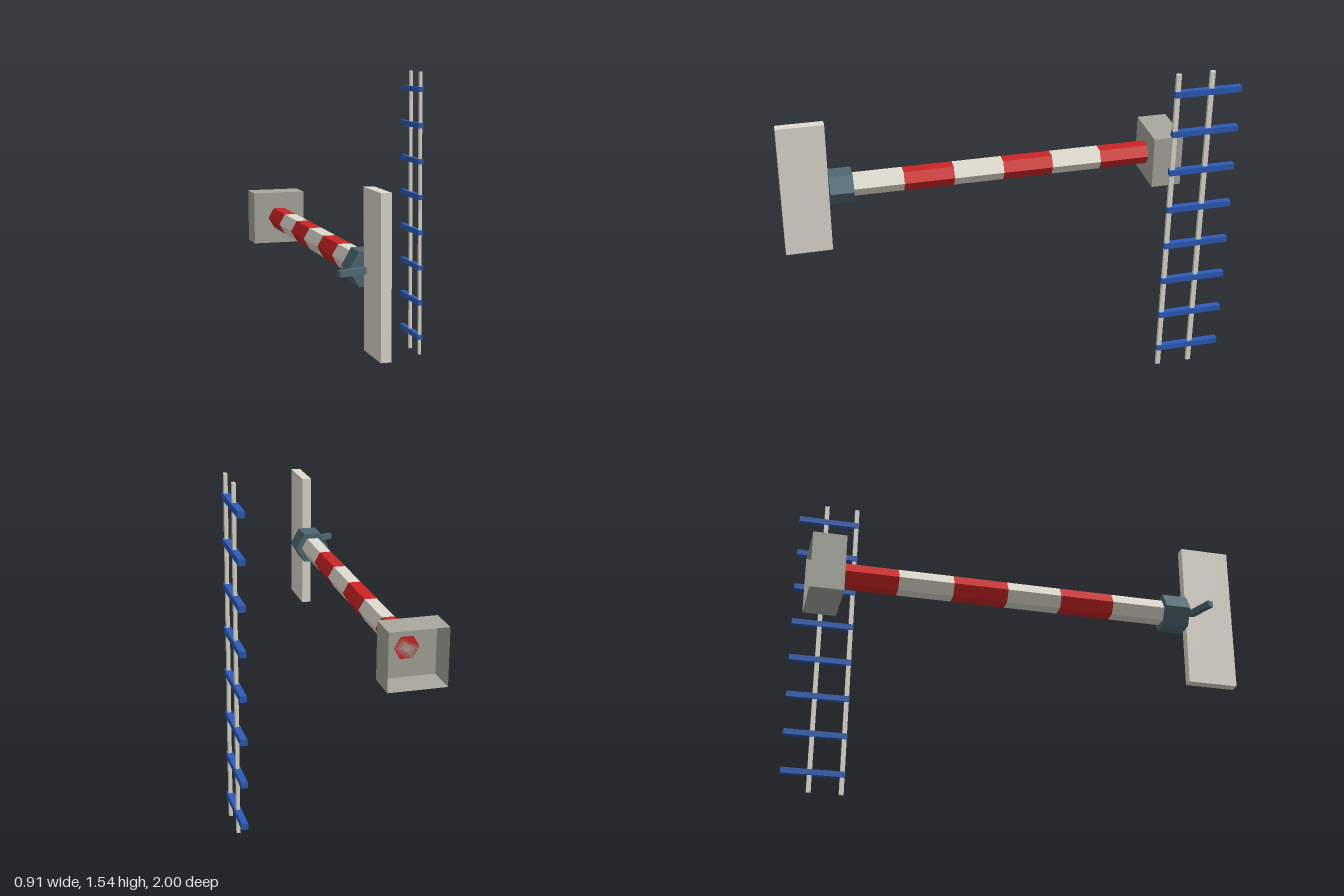
import * as THREE from 'three';

const material = (color, side = THREE.FrontSide) =>
  new THREE.MeshStandardMaterial({ color, side, flatShading: true });

export function createModel() {
  const group = new THREE.Group();
  const cream = material(0xe0dcd0);
  const red = material(0xcc2424);
  const slate = material(0x4f6873);
  const blue = material(0x2c5cb8);
  const grey = material(0xa8a89f, THREE.DoubleSide);

  const add = (name, geometry, mat, x, y, z, parent = group) => {
    const mesh = new THREE.Mesh(geometry, mat);
    mesh.name = name;
    mesh.position.set(x, y, z);
    parent.add(mesh);
    return mesh;
  };
  // six-sided bar lying along z, corners pointing to the sides
  const hexBar = (radius, length) =>
    new THREE.CylinderGeometry(radius, radius, length, 6).rotateY(Math.PI / 6).rotateX(Math.PI / 2);

  const poleX = -0.303, poleY = 0.771;

  // striped pole, alternating bands from front to back
  const pole = new THREE.Group();
  pole.name = 'stripedPole';
  group.add(pole);
  const band = 0.25;
  for (let i = 0; i < 6; i++) {
    add('poleBand' + (i + 1), hexBar(0.058, band), i % 2 ? red : cream,
      poleX, poleY, 0.65 - band * (i + 0.5), pole);
  }

  // collar, upright end plate and slanted handle at the front
  add('collar', hexBar(0.087, 0.117), slate, poleX, poleY, 0.709);
  add('endPlate', new THREE.BoxGeometry(0.046, 0.69, 0.232), cream, poleX, poleY, 0.884);
  const handle = add('handle', new THREE.BoxGeometry(0.16, 0.028, 0.026), slate, -0.38, poleY, 0.814);
  handle.rotation.y = 0.35;

  // thin-walled box at the rear, open to the back
  const openBox = new THREE.BoxGeometry(0.268, 0.268, 0.15);
  openBox.setIndex(Array.from(openBox.index.array).slice(0, 30));
  openBox.clearGroups();
  add('rearBox', openBox, grey, poleX, poleY, -0.925);

  // ladder: two rails with eight rungs reaching past the rear rail
  const ladder = new THREE.Group();
  ladder.name = 'ladder';
  group.add(ladder);
  for (const [name, z] of [['frontRail', -0.707], ['rearRail', -0.862]]) {
    add(name, new THREE.BoxGeometry(0.015, 1.54, 0.022), cream, 0.441, 0.77, z, ladder);
  }
  for (let i = 0; i < 8; i++) {
    add('rung' + (i + 1), new THREE.BoxGeometry(0.028, 0.028, 0.306), blue,
      0.441, 0.098 + i * 0.1925, -0.847, ladder);
  }
  return group;
}
